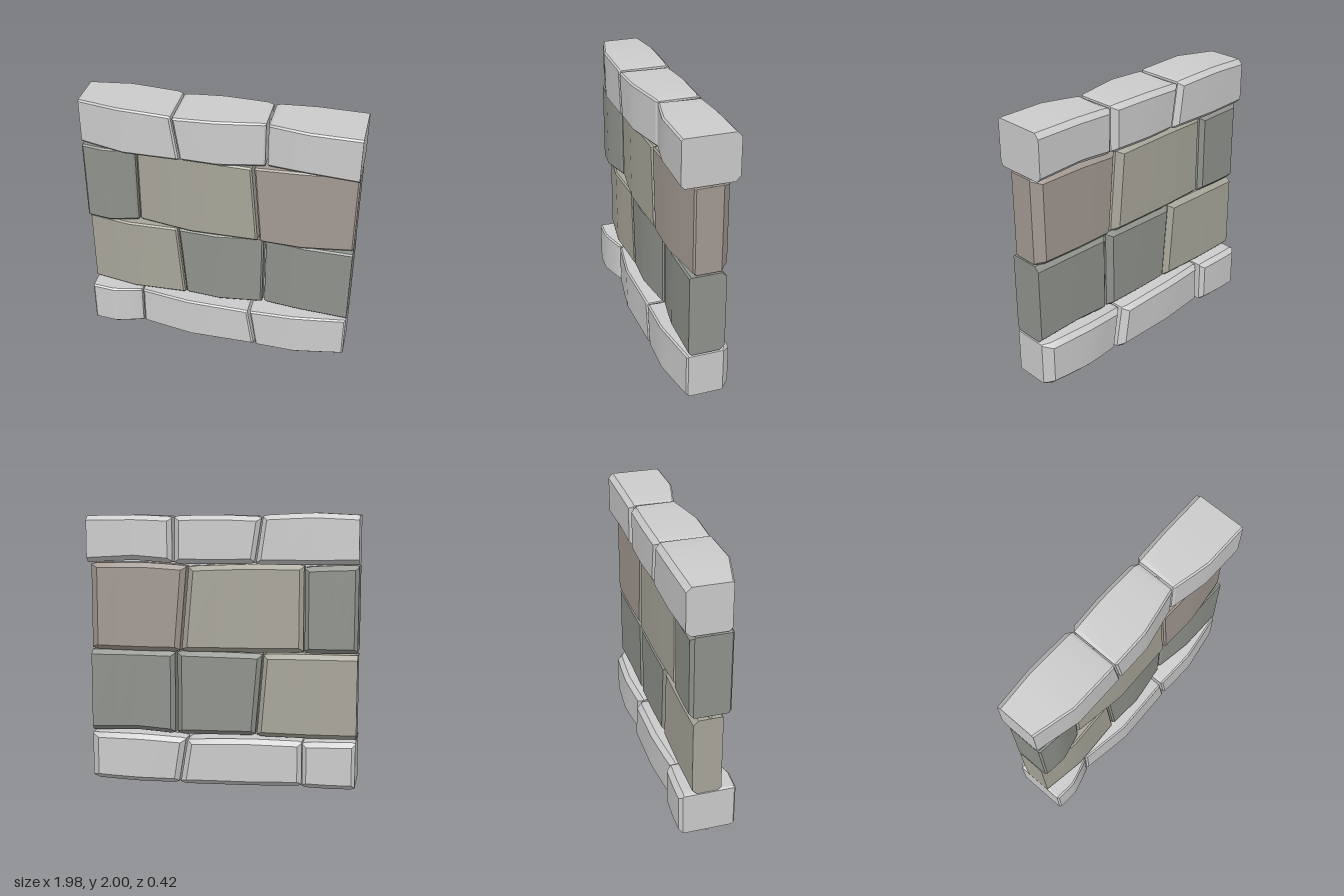
import * as THREE from 'three';
import { toCreasedNormals } from 'three/addons/utils/BufferGeometryUtils.js';

const GREY = 0xcccccc, GREEN = 0x8f928c, SAND = 0xa8a69a, ROSE = 0xa39a93;
const C = 0.012, B = 0.024, K = 0.035; // front, front bottom and back chamfers

const { lerp } = THREE.MathUtils;

// value along a start / middle / end triple, middle at 0.45
function along(t, u) {
  return u < 0.45 ? lerp(t[0], t[1], u / 0.45) : lerp(t[1], t[2], (u - 0.45) / 0.55);
}

// Stone lofted along x from chamfered cross-sections.
// left/right: [x at bottom, x at top]; bottom/top/front/back: triples along x;
// endL/endR: back chamfer of each end, 0 for a plainly cut end.
function stoneGeometry({ left, right, bottom, top, front, back, endL, endR }) {
  const stations = [];
  if (endL) stations.push([0, endL, 0]);
  stations.push([0, 0, endL], [0.25, 0, 0], [0.45, 0, 0], [0.72, 0, 0], [1, 0, -endR]);
  if (endR) stations.push([1, endR, 0]);

  const loops = stations.map(([u, inset, shift]) => {
    const tip = inset > 0;
    const c = tip ? 0.004 : C, b = tip ? 0.012 : B, k = tip ? 0.006 : K;
    const yb = along(bottom, u) + (tip ? 0.008 : 0);
    const yt = along(top, u) - (tip ? 0.008 : 0);
    const zf = along(front, u) - (tip ? C : 0);
    const zb = along(back, u) + inset;
    const section = [
      [yb + b, zf], [yt - c, zf], [yt, zf - c], [yt, zb + k],
      [yt - k, zb], [yb + k, zb], [yb, zb + k], [yb, zf - b],
    ];
    return section.map(([y, z], j) => {
      const v = (y - yb) / (yt - yb);
      const isFront = j < 3 || j === 7;
      const dx = isFront ? Math.sign(shift) * C : shift;
      return [lerp(lerp(left[0], left[1], v), lerp(right[0], right[1], v), u) + dx, y, z];
    });
  });

  const pos = [];
  const tri = (a, b, c) => pos.push(...a, ...b, ...c);
  for (let i = 0; i < loops.length - 1; i++) {
    for (let j = 0; j < 8; j++) {
      const n = (j + 1) % 8;
      const a = loops[i][j], b = loops[i][n], c = loops[i + 1][n], d = loops[i + 1][j];
      tri(a, d, c);
      tri(a, c, b);
    }
  }
  const first = loops[0], last = loops[loops.length - 1];
  for (let j = 1; j < 7; j++) {
    tri(first[0], first[j], first[j + 1]);
    tri(last[0], last[j + 1], last[j]);
  }
  const g = new THREE.BufferGeometry();
  g.setAttribute('position', new THREE.Float32BufferAttribute(pos, 3));
  return toCreasedNormals(g, 0.5);
}

// Joint positions shared by alternate courses
const LONG_FIRST = [
  { left: [-0.99, -0.99], right: [-0.262, -0.312], endL: 0, endR: 0.035 },
  { left: [-0.25, -0.3], right: [0.335, 0.335], endL: 0.03, endR: 0.04 },
  { left: [0.353, 0.353], right: [0.99, 0.99], endL: 0.03, endR: 0 },
];
const SHORT_FIRST = [
  { left: [-0.99, -0.99], right: [-0.61, -0.61], endL: 0.025, endR: 0.03 },
  { left: [-0.6, -0.6], right: [0.298, 0.243], endL: 0.03, endR: 0.045 },
  { left: [0.315, 0.262], right: [0.99, 0.99], endL: 0.035, endR: 0.06 },
];

const COURSES = [
  { name: 'baseStone', joints: SHORT_FIRST, stones: [
    { color: GREY, bottom: [0.03, 0.025, 0.025], top: [0.375, 0.37, 0.36], front: [0.2, 0.208, 0.15], back: [-0.21, -0.21, -0.2] },
    { color: GREY, bottom: [0.02, 0.015, 0.005], top: [0.355, 0.365, 0.345], front: [0.145, 0.208, 0.195], back: [-0.16, -0.2, -0.2] },
    { color: GREY, bottom: [0, 0.005, 0.01], top: [0.345, 0.365, 0.36], front: [0.195, 0.208, 0.15], back: [-0.17, -0.2, -0.18] },
  ] },
  { name: 'lowerWallStone', joints: LONG_FIRST, stones: [
    { color: SAND, bottom: [0.375, 0.37, 0.37], top: [0.99, 0.99, 0.985], front: [0.09, 0.14, 0.125], back: [-0.12, -0.125, -0.12] },
    { color: GREEN, bottom: [0.375, 0.37, 0.365], top: [0.985, 0.988, 0.99], front: [0.125, 0.14, 0.095], back: [-0.12, -0.125, -0.125] },
    { color: GREEN, bottom: [0.365, 0.382, 0.365], top: [0.985, 0.988, 0.985], front: [0.09, 0.14, 0.14], back: [-0.12, -0.125, -0.125] },
  ] },
  { name: 'upperWallStone', joints: SHORT_FIRST, stones: [
    { color: GREEN, bottom: [1.005, 1, 1], top: [1.635, 1.63, 1.62], front: [0.145, 0.16, 0.11], back: [-0.145, -0.145, -0.14] },
    { color: SAND, bottom: [1, 0.995, 0.99], top: [1.632, 1.635, 1.618], front: [0.1, 0.16, 0.15], back: [-0.13, -0.145, -0.145] },
    { color: ROSE, bottom: [0.985, 0.985, 0.99], top: [1.622, 1.64, 1.635], front: [0.15, 0.16, 0.115], back: [-0.135, -0.145, -0.145] },
  ] },
  { name: 'copingStone', joints: LONG_FIRST, stones: [
    { color: GREY, bottom: [1.64, 1.635, 1.635], top: [1.985, 2.0, 1.985], front: [0.13, 0.208, 0.208], back: [-0.18, -0.195, -0.19] },
    { color: GREY, bottom: [1.64, 1.635, 1.635], top: [1.975, 1.985, 1.98], front: [0.208, 0.208, 0.145], back: [-0.185, -0.195, -0.19] },
    { color: GREY, bottom: [1.64, 1.66, 1.64], top: [1.975, 1.985, 1.98], front: [0.145, 0.208, 0.208], back: [-0.19, -0.195, -0.195] },
  ] },
];

export function createModel() {
  const model = new THREE.Group();
  model.name = 'stoneWall';

  for (const { name, joints, stones } of COURSES) {
    const course = new THREE.Group();
    course.name = name + 'Course';
    stones.forEach((stone, i) => {
      const material = new THREE.MeshStandardMaterial({ color: stone.color });
      const mesh = new THREE.Mesh(stoneGeometry({ ...joints[i], ...stone }), material);
      mesh.name = name + (i + 1);
      course.add(mesh);
    });
    model.add(course);
  }

  // Thin mortar sheet closing the joints
  const mortar = new THREE.Mesh(
    new THREE.BoxGeometry(1.96, 1.925, 0.02),
    new THREE.MeshStandardMaterial({ color: GREY }),
  );
  mortar.name = 'mortarCore';
  mortar.position.y = 0.978;
  model.add(mortar);
  return model;
}
